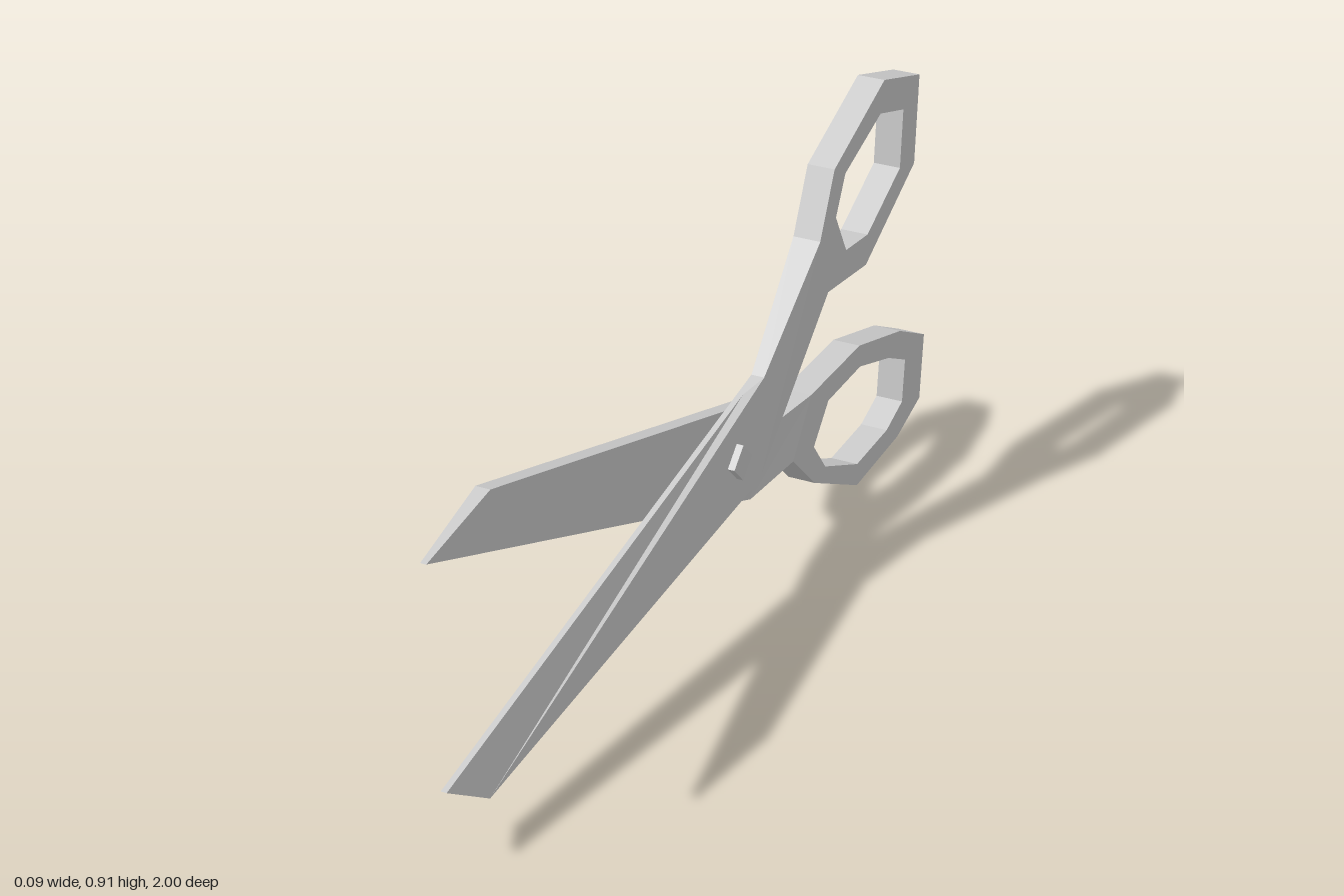
import * as THREE from 'three';

const material = new THREE.MeshStandardMaterial({ color: 0xcccccc, flatShading: true });

// A plate from outline points [back, up, xLow, xHigh], counter-clockwise seen from +x.
// "open" lists outline edges left without a wall, where the next part joins on.
function plate(name, outline, open = [], hole = []) {
  const inner = [...hole].reverse();
  const all = [...outline, ...inner];
  const flat = (pts) => pts.map((p) => new THREE.Vector2(p[0], p[1]));
  const positions = [];
  const low = (p) => [p[2], p[1], -p[0]];
  const high = (p) => [p[3], p[1], -p[0]];
  const tri = (a, b, c) => positions.push(...a, ...b, ...c);

  // two side faces
  const faces = THREE.ShapeUtils.triangulateShape(flat(outline), inner.length ? [flat(inner)] : []);
  for (const face of faces) {
    let [a, b, c] = face.map((i) => all[i]);
    const area = (b[0] - a[0]) * (c[1] - a[1]) - (c[0] - a[0]) * (b[1] - a[1]);
    if (area < 0) [b, c] = [c, b];
    tri(high(a), high(b), high(c));
    tri(low(a), low(c), low(b));
  }

  // walls around the rim and the hole
  const wall = (loop, skip) => loop.forEach((p, i) => {
    if (skip.includes(i)) return;
    const q = loop[(i + 1) % loop.length];
    tri(low(p), low(q), high(q));
    tri(low(p), high(q), high(p));
  });
  wall(outline, open);
  wall(inner, []);

  const geometry = new THREE.BufferGeometry();
  geometry.setAttribute('position', new THREE.Float32BufferAttribute(positions, 3));
  geometry.computeVertexNormals();
  const mesh = new THREE.Mesh(geometry, material);
  mesh.name = name;
  return mesh;
}

const withX = (pts, lo, hi) => pts.map(([u, y]) => [u, y, lo, hi]);

// Half with the lower blade and the upper finger loop
function lowerBladeHalf() {
  const heel = [0.19, 0.24, 0, 0.03], shoulder = [0.21, 0.455, 0, 0.028];
  const loop = withX([[0.46, 0.54], [0.635, 0.53], [0.86, 0.67], [0.875, 0.86],
    [0.705, 0.907], [0.48, 0.797], [0.42, 0.665]], -0.015, 0.044);
  const hole = withX([[0.54, 0.6], [0.64, 0.595], [0.79, 0.685], [0.8, 0.81],
    [0.69, 0.84], [0.53, 0.77], [0.49, 0.69]], -0.015, 0.044);
  const half = new THREE.Group();
  half.name = 'lowerBladeHalf';
  half.add(
    plate('lowerBlade', [[-0.98, 0.16, 0, 0.012], [-0.865, 0.09, 0, 0.03], heel, shoulder,
      [0.15, 0.44, 0, 0.012]], [2]),
    plate('upperNeck', [heel, loop[0], loop[6], shoulder], [1, 3]),
    plate('upperFingerLoop', loop, [6], hole),
  );
  return half;
}

// Half with the upper blade and the lower finger loop
function upperBladeHalf() {
  const heel = [0.21, 0.18, -0.012, 0], shoulder = [0.19, 0.4, -0.03, 0];
  const loop = withX([[0.37, 0.195], [0.47, 0.1], [0.675, 0], [0.875, 0.025], [0.985, 0.07],
    [1, 0.215], [0.875, 0.275], [0.675, 0.325], [0.45, 0.31]], -0.045, 0.015);
  const hole = withX([[0.465, 0.185], [0.52, 0.115], [0.675, 0.05], [0.82, 0.065], [0.895, 0.1],
    [0.905, 0.195], [0.82, 0.235], [0.68, 0.275], [0.53, 0.262]], -0.045, 0.015);
  const half = new THREE.Group();
  half.name = 'upperBladeHalf';
  half.add(
    plate('upperBlade', [[-1, 0.62, -0.012, 0], heel, shoulder, [-0.785, 0.663, -0.03, 0]], [1]),
    plate('lowerNeck', [heel, loop[0], loop[8], [0.265, 0.305, -0.03, 0], shoulder], [1, 4]),
    plate('lowerFingerLoop', loop, [8], hole),
  );
  return half;
}

export function createModel() {
  const model = new THREE.Group();
  model.name = 'scissors';
  model.add(lowerBladeHalf(), upperBladeHalf());

  // Square pivot pin, turned on its corner
  const pin = new THREE.Mesh(new THREE.BoxGeometry(0.087, 0.054, 0.054), material);
  pin.name = 'pivotPin';
  pin.position.set(0, 0.325, -0.092);
  pin.rotation.x = Math.PI / 4;
  model.add(pin);
  return model;
}
